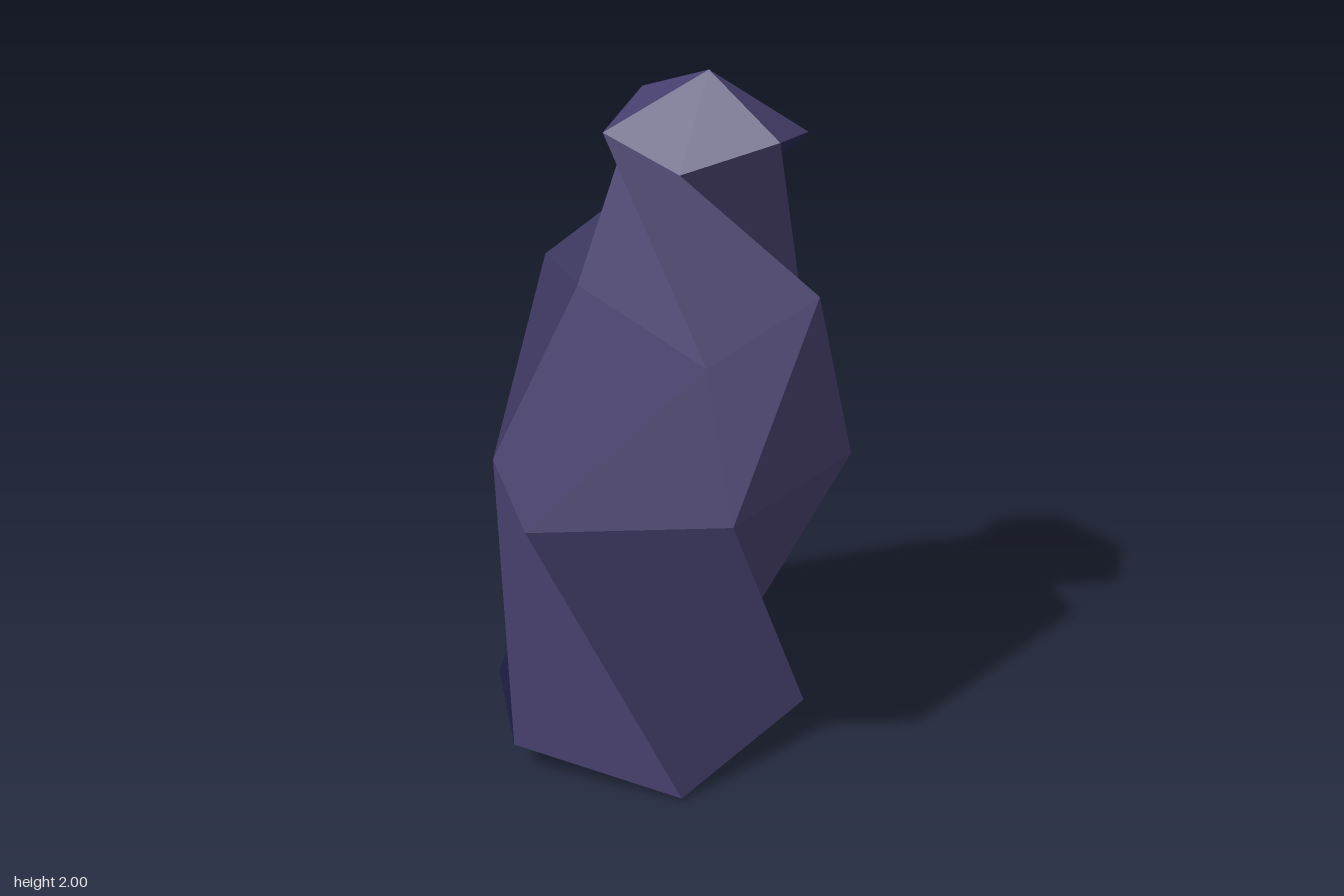
import * as THREE from 'three';

// Six-sided cross-sections, bottom to top, each starting at the front right corner
const RINGS = [
  [[-0.31, 0.01, 0.46], [0.22, 0.12, 0.43], [0.41, 0.11, -0.03], [0.17, 0.05, -0.46], [-0.31, 0.07, -0.40], [-0.57, 0.09, 0.005]],
  [[-0.555, 0.81, 0.065], [-0.19, 0.88, 0.535], [0.385, 0.90, 0.435], [0.49, 0.85, -0.08], [0.235, 0.75, -0.535], [-0.29, 0.79, -0.425]],
  [[-0.12, 1.28, 0.345], [0.31, 1.39, 0.36], [0.57, 1.275, 0.02], [0.36, 1.35, -0.325], [-0.06, 1.40, -0.435], [-0.25, 1.45, -0.055]],
  [[-0.045, 1.83, -0.18], [-0.005, 1.76, 0.105], [0.215, 1.85, 0.28], [0.475, 1.80, 0.135], [0.49, 1.81, -0.17], [0.23, 1.89, -0.32]],
].map((ring) => ring.map((p) => new THREE.Vector3(...p)));
const BOTTOM = new THREE.Vector3(-0.08, 0, 0);
const APEX = new THREE.Vector3(0.22, 2, -0.02);

// Bands between the rings, with the sides that are navy
const BANDS = [
  { name: 'lowerRock', navySides: [2, 3, 4] },
  { name: 'middleRock', navySides: [2, 3] },
  { name: 'neckRock', navySides: [2, 3] },
];

// Mesh of three- or four-cornered facets, each shaded with one normal
function facetMesh(name, facets, material) {
  const points = [];
  const normals = [];
  for (const [a, b, c, d] of facets) {
    const across = (d ?? c).clone().sub(b);
    const normal = c.clone().sub(a).cross(across);
    if (!d) normal.crossVectors(b.clone().sub(a), across);
    normal.normalize();
    for (const p of d ? [a, b, d, b, c, d] : [a, b, c]) {
      points.push(p);
      normals.push(...normal);
    }
  }
  const geometry = new THREE.BufferGeometry().setFromPoints(points);
  geometry.setAttribute('normal', new THREE.Float32BufferAttribute(normals, 3));
  const mesh = new THREE.Mesh(geometry, material);
  mesh.name = name;
  return mesh;
}

// Twisted quads between two neighbouring rings
function band(low, high) {
  return low.map((p, i) => {
    const j = (i + 1) % low.length;
    return [p, low[j], high[j], high[i]];
  });
}

// Triangles from a ring to one point
function fan(ring, tip, upward) {
  return ring.map((p, i) => {
    const q = ring[(i + 1) % ring.length];
    return upward ? [p, q, tip] : [q, p, tip];
  });
}

function stone(name, color) {
  const material = new THREE.MeshStandardMaterial({ color });
  material.name = name;
  return material;
}

export function createModel() {
  const group = new THREE.Group();
  group.name = 'rockPillar';
  const purple = stone('purple stone', 0x463f6c);
  const navy = stone('navy stone', 0x23234f);

  // Underside and pointed cap
  group.add(facetMesh('underside', fan(RINGS[0], BOTTOM, false), navy));
  group.add(facetMesh('cap', fan(RINGS[3], APEX, true), purple));

  // Three bands, each purple with a navy flank
  BANDS.forEach(({ name, navySides }, i) => {
    const quads = band(RINGS[i], RINGS[i + 1]);
    group.add(facetMesh(name, quads.filter((_, k) => !navySides.includes(k)), purple));
    group.add(facetMesh(name + 'Flank', quads.filter((_, k) => navySides.includes(k)), navy));
  });
  return group;
}
